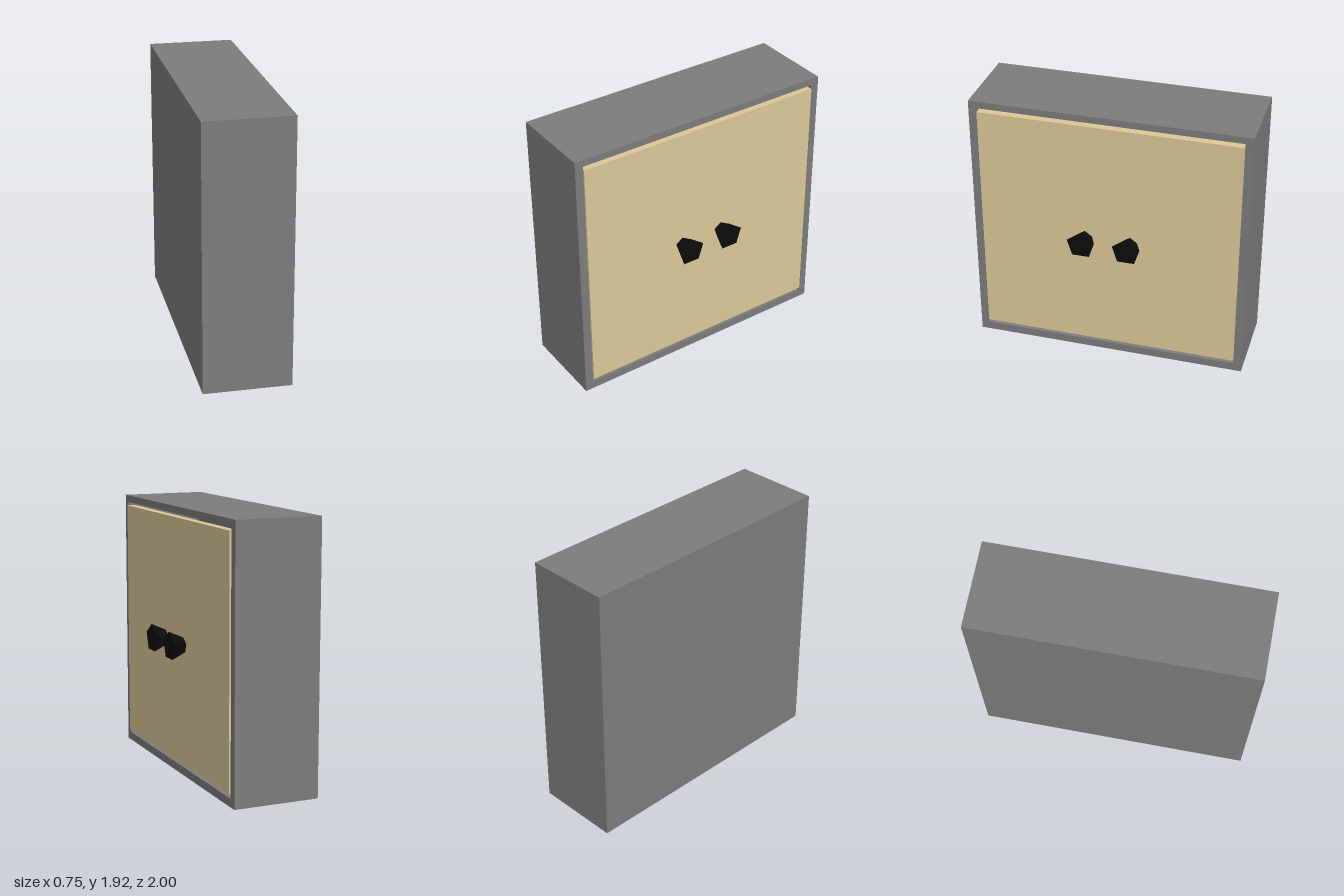
import * as THREE from 'three';

const paint = (color) => new THREE.MeshStandardMaterial({ color, flatShading: true });

function rectangle(PathType, halfWidth, bottom, top) {
  return new PathType([
    new THREE.Vector2(-halfWidth, bottom),
    new THREE.Vector2(halfWidth, bottom),
    new THREE.Vector2(halfWidth, top),
    new THREE.Vector2(-halfWidth, top),
  ]);
}

export function createModel() {
  const model = new THREE.Group();
  const grey = paint(0x7c7c7c);
  const wood = paint(0xdbc898);
  const black = paint(0x0c0c0c);

  const add = (name, geometry, material, x, y, z) => {
    const mesh = new THREE.Mesh(geometry, material);
    mesh.name = name;
    mesh.position.set(x, y, z);
    model.add(mesh);
  };

  // Hollow cabinet: four walls open toward +x
  const walls = rectangle(THREE.Shape, 1, 0, 1.925);
  walls.holes.push(rectangle(THREE.Path, 0.94, 0.06, 1.875));
  const shell = new THREE.ExtrudeGeometry(walls, { depth: 0.585, bevelEnabled: false });
  shell.rotateY(Math.PI / 2);
  add('cabinetWalls', shell, grey, -0.335, 0, 0);

  // Closed back of the cabinet
  add('cabinetBack', new THREE.BoxGeometry(0.04, 1.925, 2), grey, -0.355, 0.9625, 0);

  // Door panel, just proud of the walls, with a gap above and below
  add('door', new THREE.BoxGeometry(0.06, 1.76, 1.874), wood, 0.23, 0.97, 0.001);

  // Two flared five-sided knobs, one corner pointing up
  const knob = new THREE.CylinderGeometry(0.105, 0.055, 0.11, 5, 1, false, -Math.PI / 2);
  knob.rotateZ(-Math.PI / 2);
  for (const z of [0.17, -0.16]) add('knob', knob, black, 0.315, 0.96, z);

  return model;
}
